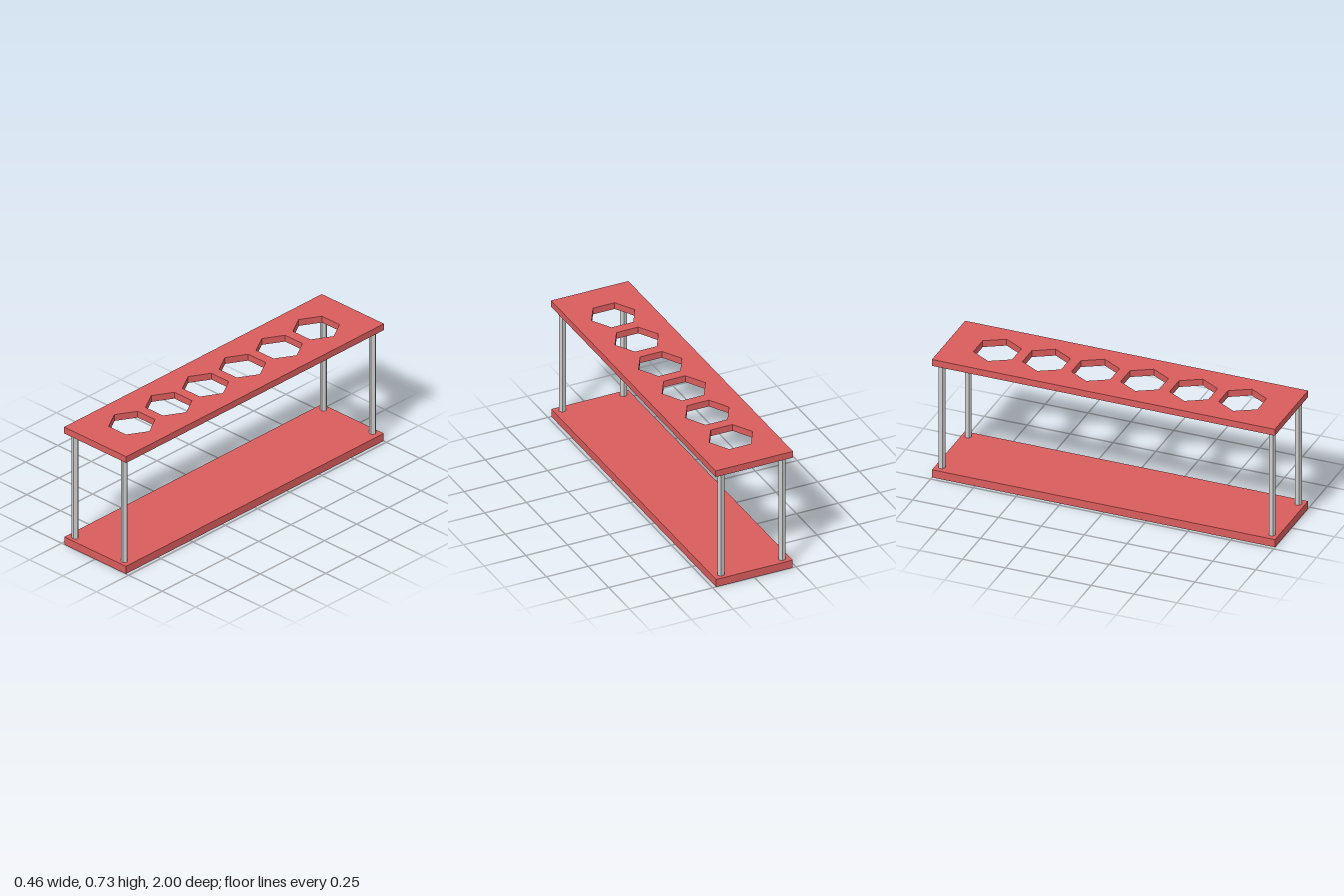
import * as THREE from 'three';

export function createModel() {
  const model = new THREE.Group();
  const red = new THREE.MeshStandardMaterial({ color: 0xd95c5c, flatShading: true });
  const grey = new THREE.MeshStandardMaterial({ color: 0xcccccc, flatShading: true });

  const add = (name, geometry, material, x, y, z) => {
    const mesh = new THREE.Mesh(geometry, material);
    mesh.name = name;
    mesh.position.set(x, y, z);
    model.add(mesh);
  };

  // Solid base plate
  const baseHeight = 0.047;
  add('basePlate', new THREE.BoxGeometry(0.46, baseHeight, 2), red, 0, baseHeight / 2, 0);

  // Top plate with a row of six hexagonal holes
  const topY = 0.688, topHeight = 0.039, halfWidth = 0.232;
  const outline = new THREE.Shape([
    new THREE.Vector2(-halfWidth, -1), new THREE.Vector2(halfWidth, -1),
    new THREE.Vector2(halfWidth, 1), new THREE.Vector2(-halfWidth, 1),
  ]);
  for (let i = 0; i < 6; i++) {
    const centre = (i - 2.5) * 0.286;
    const corners = [];
    for (let k = 0; k < 6; k++) {
      const a = -k * Math.PI / 3;
      corners.push(new THREE.Vector2(0.13 * Math.cos(a), centre + 0.13 * Math.sin(a)));
    }
    outline.holes.push(new THREE.Path(corners));
  }
  const topPlate = new THREE.ExtrudeGeometry(outline, { depth: topHeight, bevelEnabled: false });
  topPlate.rotateX(-Math.PI / 2);
  add('topPlate', topPlate, red, 0, topY, 0);

  // Four five-sided posts, each with one corner pointing to +x
  const postHeight = topY - baseHeight;
  const post = new THREE.CylinderGeometry(0.02, 0.02, postHeight, 5, 1, false, Math.PI / 2);
  for (const [xName, x] of [['Left', 0.1835], ['Right', -0.1835]]) {
    for (const [zName, z] of [['front', 0.963], ['back', -0.963]]) {
      add(`${zName}${xName}Post`, post, grey, x, baseHeight + postHeight / 2, z);
    }
  }

  return model;
}
